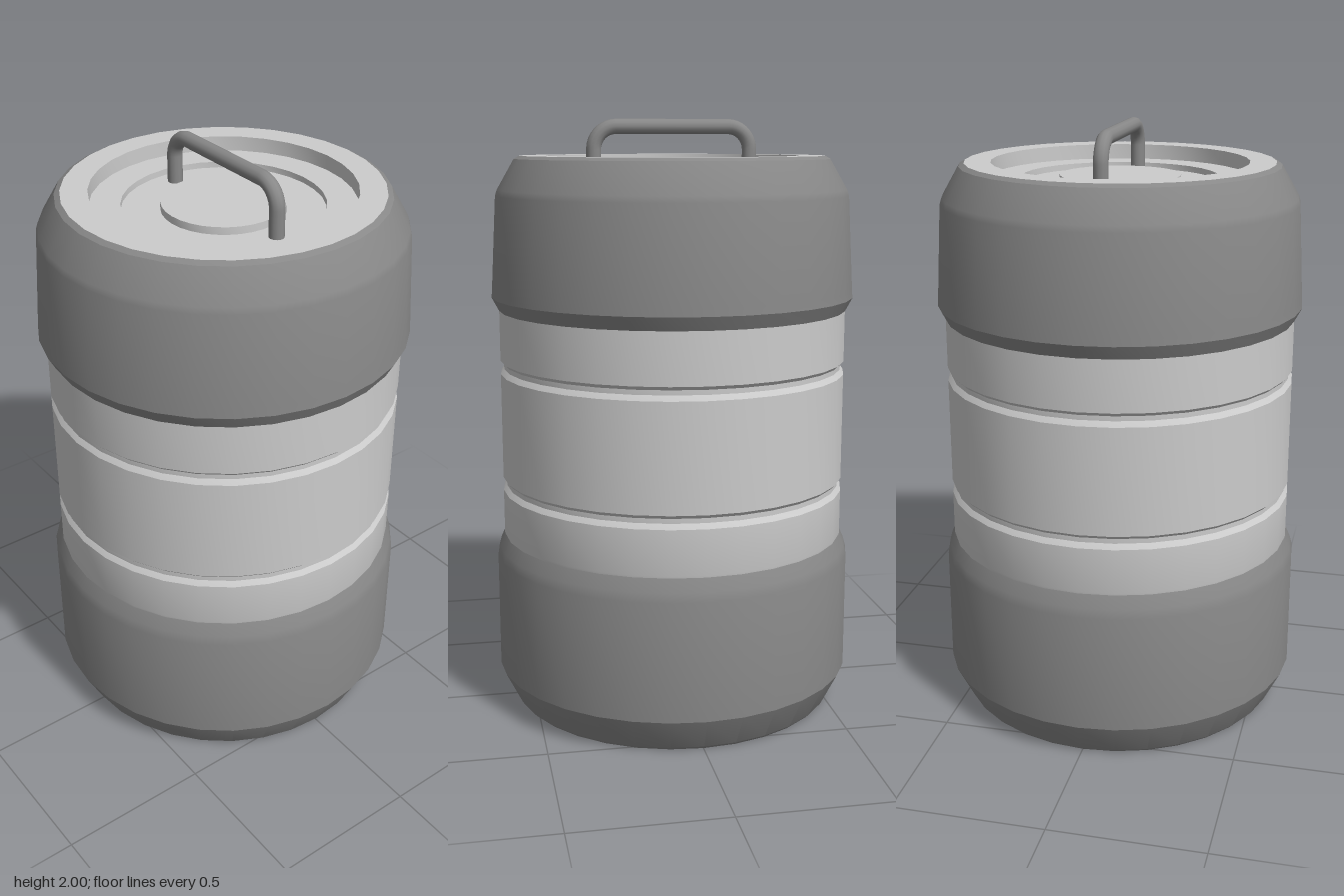
import * as THREE from 'three';
import { toCreasedNormals } from 'three/addons/utils/BufferGeometryUtils.js';

const SIDES = 32;

export function createModel() {
  const model = new THREE.Group();
  const light = new THREE.MeshStandardMaterial({ color: 0xcccccc });
  const dark = new THREE.MeshStandardMaterial({ color: 0x888888 });

  const add = (name, geometry, material) => {
    const mesh = new THREE.Mesh(geometry, material);
    mesh.name = name;
    model.add(mesh);
    return mesh;
  };

  // Turned part from [radius, height] pairs; creases keep the chamfers crisp
  const turn = (name, profile, material) => {
    const points = profile.map(([r, y]) => new THREE.Vector2(r, y));
    const lathe = new THREE.LatheGeometry(points, SIDES);
    return add(name, toCreasedNormals(lathe, 0.35), material);
  };

  // Bottom cap with chamfered foot
  turn('baseCap', [
    [0, 0], [0.55, 0], [0.56, 0.01], [0.615, 0.12], [0.615, 0.52],
    [0.607, 0.55], [0.585, 0.6], [0.56, 0.6],
  ], dark);

  // Body with two shallow grooves
  const groove = (y) => [[0.59, y - 0.025], [0.578, y - 0.008], [0.578, y + 0.008], [0.59, y + 0.02]];
  turn('body', [[0.585, 0.58], [0.59, 0.6], ...groove(0.775), ...groove(1.18), [0.59, 1.4]], light);

  // Tapered top cap
  turn('topCap', [
    [0.56, 1.37], [0.59, 1.37], [0.614, 1.415], [0.612, 1.44],
    [0.594, 1.75], [0.588, 1.77], [0.53, 1.87], [0.512, 1.88],
  ], dark);

  // Lid: rim, recess, lower channel and raised centre disc
  turn('lid', [
    [0.512, 1.88], [0.425, 1.88], [0.425, 1.83], [0.325, 1.83],
    [0.325, 1.81], [0.2, 1.81], [0.2, 1.835], [0, 1.835],
  ], light);

  // Carrying handle: a bent rod standing in the channel
  const x = 0.265, top = 1.975, bend = 0.075;
  const v = (px, py) => new THREE.Vector3(px, py, 0);
  const path = new THREE.CurvePath();
  path.add(new THREE.LineCurve3(v(-x, 1.8), v(-x, top - bend)));
  path.add(new THREE.CubicBezierCurve3(v(-x, top - bend), v(-x, top - bend * 0.45), v(-x + bend * 0.45, top), v(-x + bend, top)));
  path.add(new THREE.LineCurve3(v(-x + bend, top), v(x - bend, top)));
  path.add(new THREE.CubicBezierCurve3(v(x - bend, top), v(x - bend * 0.45, top), v(x, top - bend * 0.45), v(x, top - bend)));
  path.add(new THREE.LineCurve3(v(x, top - bend), v(x, 1.8)));
  add('handle', new THREE.TubeGeometry(path, 64, 0.025, 12), dark);

  return model;
}
